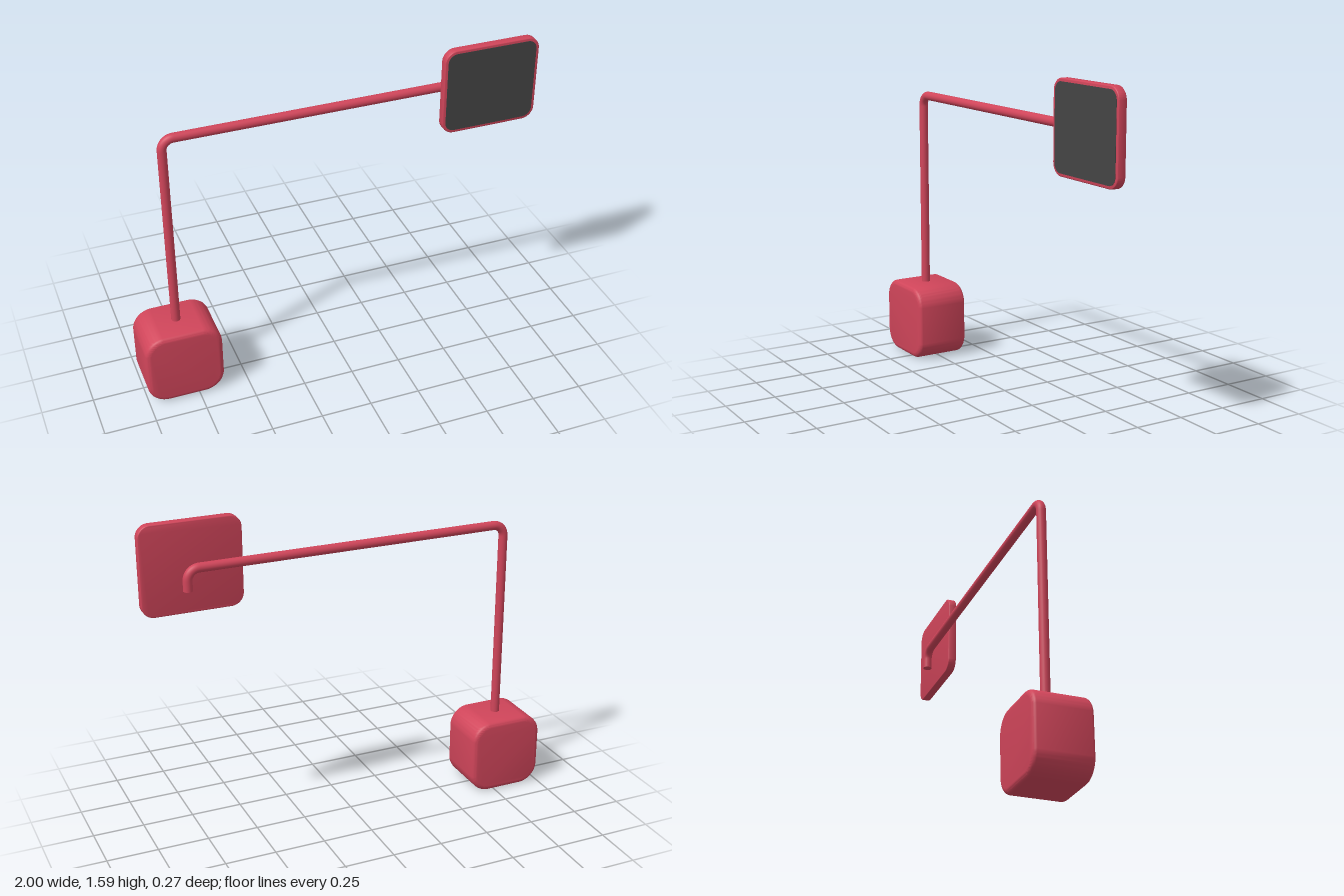
import * as THREE from 'three';
import { toCreasedNormals } from 'three/addons/utils/BufferGeometryUtils.js';

const red = new THREE.MeshStandardMaterial({ color: 0xd0455a });
const dark = new THREE.MeshStandardMaterial({ color: 0x444444 });

// Rounded rectangle centred on the origin
function roundedRect(w, h, r) {
  const x = w / 2, y = h / 2, s = new THREE.Shape();
  s.absarc(x - r, y - r, r, 0, Math.PI / 2);
  s.absarc(-x + r, y - r, r, Math.PI / 2, Math.PI);
  s.absarc(-x + r, -y + r, r, Math.PI, Math.PI * 1.5);
  s.absarc(x - r, -y + r, r, Math.PI * 1.5, Math.PI * 2);
  s.closePath();
  return s;
}

// Rounded slab with softened front and back edges, centred on the origin
function slab(w, h, d, r, bevel) {
  const g = new THREE.ExtrudeGeometry(roundedRect(w - 2 * bevel, h - 2 * bevel, r - bevel), {
    depth: d - 2 * bevel, bevelEnabled: true, bevelSize: bevel, bevelThickness: bevel,
    bevelSegments: 5, curveSegments: 10,
  });
  g.translate(0, 0, bevel - d / 2);
  return toCreasedNormals(g, 0.6);
}

export function createModel() {
  const group = new THREE.Group();
  const add = (name, geometry, material, x = 0, y = 0, z = 0) => {
    const mesh = new THREE.Mesh(geometry, material);
    mesh.name = name;
    mesh.position.set(x, y, z);
    group.add(mesh);
  };

  // Weighted base block
  add('base', slab(0.38, 0.38, 0.274, 0.1, 0.025), red, -0.81, 0.19, 0);

  // Bent arm: up, across, and a short hook down behind the panel
  const R = 0.022, bend = 0.055, top = 1.378, left = -0.811, right = 0.789, end = 1.275;
  const v = (x, y) => new THREE.Vector3(x, y, 0);
  const points = [];
  const elbow = (cx, from, to) => {
    for (let i = 0; i <= 12; i++) {
      const a = from + (to - from) * i / 12;
      points.push(v(cx + bend * Math.cos(a), top - bend + bend * Math.sin(a)));
    }
  };
  points.push(v(left, 0.3));
  elbow(left + bend, Math.PI, Math.PI / 2);
  elbow(right - bend, Math.PI / 2, 0);
  points.push(v(right, end));
  const path = new THREE.CurvePath();
  for (let i = 1; i < points.length; i++) path.add(new THREE.LineCurve3(points[i - 1], points[i]));
  add('arm', new THREE.TubeGeometry(path, 400, R, 20), red);

  // Cap closing the hook's lower end
  const cap = new THREE.CircleGeometry(R, 20);
  cap.rotateX(Math.PI / 2);
  add('armCap', cap, red, right, end, 0);

  // Panel frame and its dark screen
  add('panel', slab(0.48, 0.43, 0.042, 0.06, 0.006), red, 0.757, 1.375, 0.049);
  const screen = new THREE.ExtrudeGeometry(roundedRect(0.45, 0.4, 0.045), {
    depth: 0.004, bevelEnabled: false, curveSegments: 10,
  });
  add('screen', toCreasedNormals(screen, 0.6), dark, 0.757, 1.375, 0.0675);

  return group;
}
